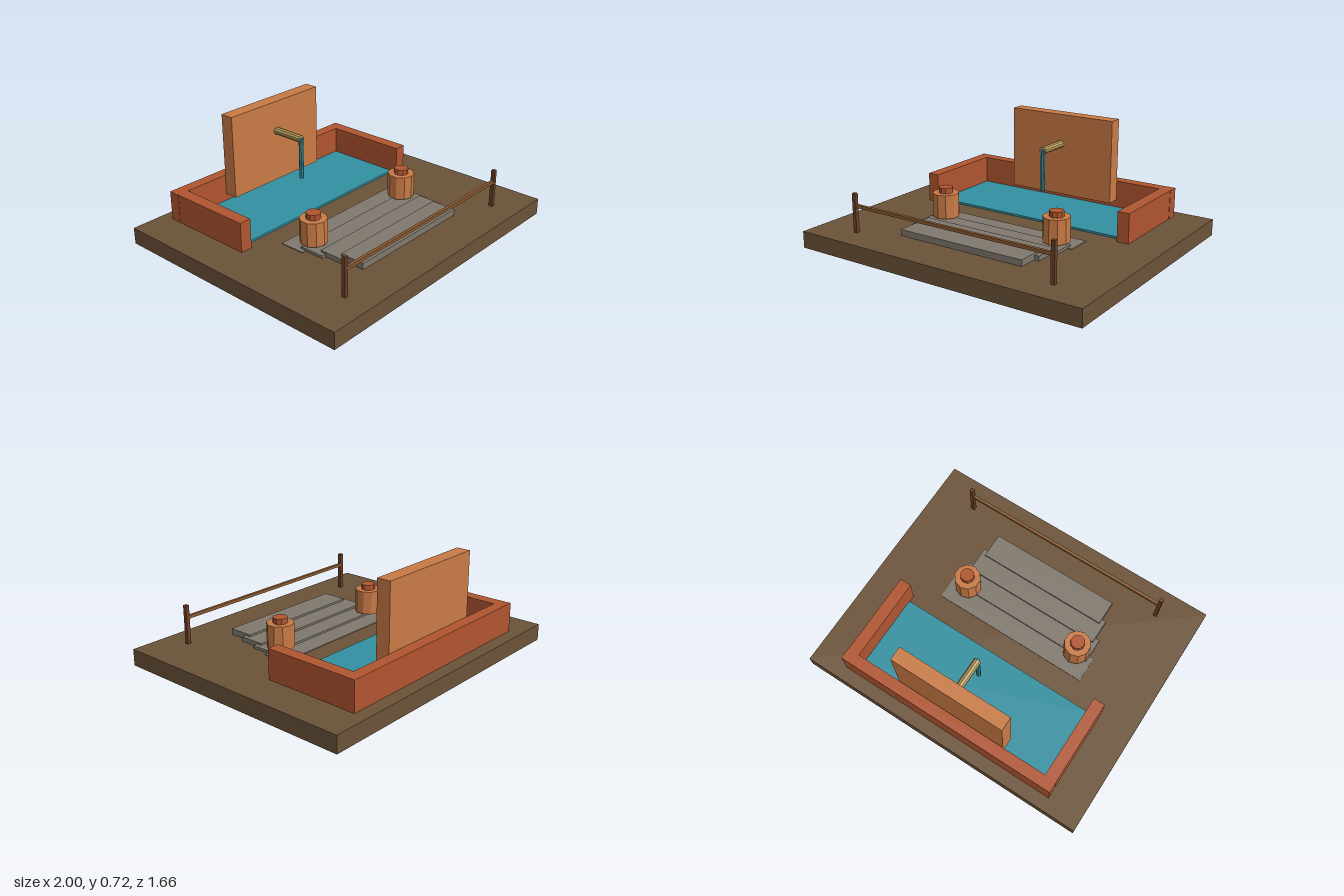
import * as THREE from 'three';

const mat = (color) => new THREE.MeshStandardMaterial({ color, flatShading: true });

export function createModel() {
  const group = new THREE.Group();
  const earth = mat(0x6b5238), brick = mat(0xb05530), clay = mat(0xc87a45), water = mat(0x328fa0);
  const stone = mat(0x7f786d), darkWood = mat(0x6b4128), wood = mat(0x8a5a32), bamboo = mat(0xb59a58);

  const add = (name, geometry, material, x, y, z) => {
    const mesh = new THREE.Mesh(geometry, material);
    mesh.name = name;
    mesh.position.set(x, y, z);
    group.add(mesh);
    return mesh;
  };
  // box given by its ranges on each axis
  const box = (name, material, [x0, x1], [y0, y1], [z0, z1]) =>
    add(name, new THREE.BoxGeometry(x1 - x0, y1 - y0, z1 - z0), material,
      (x0 + x1) / 2, (y0 + y1) / 2, (z0 + z1) / 2);

  // ground slab, pool and tall backboard
  box('ground', earth, [-1, 1], [0, 0.108], [-0.83, 0.83]);
  box('poolWater', water, [-0.69, 0.69], [0.1, 0.121], [-0.68, -0.157]);
  box('poolBackWall', brick, [-0.766, 0.766], [0.108, 0.3], [-0.745, -0.67]);
  box('backboard', clay, [-0.382, 0.382], [0.17, 0.72], [-0.667, -0.576]);

  // spout and falling stream
  add('spout', new THREE.CylinderGeometry(0.025, 0.025, 0.226, 10), bamboo, 0, 0.519, -0.463)
    .rotation.x = Math.PI / 2;
  add('stream', new THREE.CylinderGeometry(0.015, 0.015, 0.28, 8), water, 0, 0.386, -0.355);

  // overlapping steps, each narrower and higher than the last
  for (let i = 0; i < 4; i++) {
    const half = 0.535 - i * 0.03, top = 0.113 + i * 0.0127, z = -0.008 + i * 0.13;
    box('step', stone, [-half, half], [top - 0.04, top], [z, z + 0.167]);
  }

  // mirrored side walls, pillars and fence posts
  for (const s of [-1, 1]) {
    add('poolSideWall', new THREE.BoxGeometry(0.078, 0.192, 0.56), brick, s * 0.725, 0.204, -0.39);
    add('pillar', new THREE.CylinderGeometry(0.086, 0.086, 0.155, 10), clay, s * 0.416, 0.2125, 0.14);
    add('pillarCap', new THREE.CylinderGeometry(0.046, 0.046, 0.035, 10), brick, s * 0.416, 0.3075, 0.14);
    add('fencePost', new THREE.BoxGeometry(0.025, 0.254, 0.025), darkWood, s * 0.717, 0.233, 0.65);
  }
  box('fenceRail', wood, [-0.717, 0.717], [0.27, 0.29], [0.64, 0.66]);

  return group;
}
